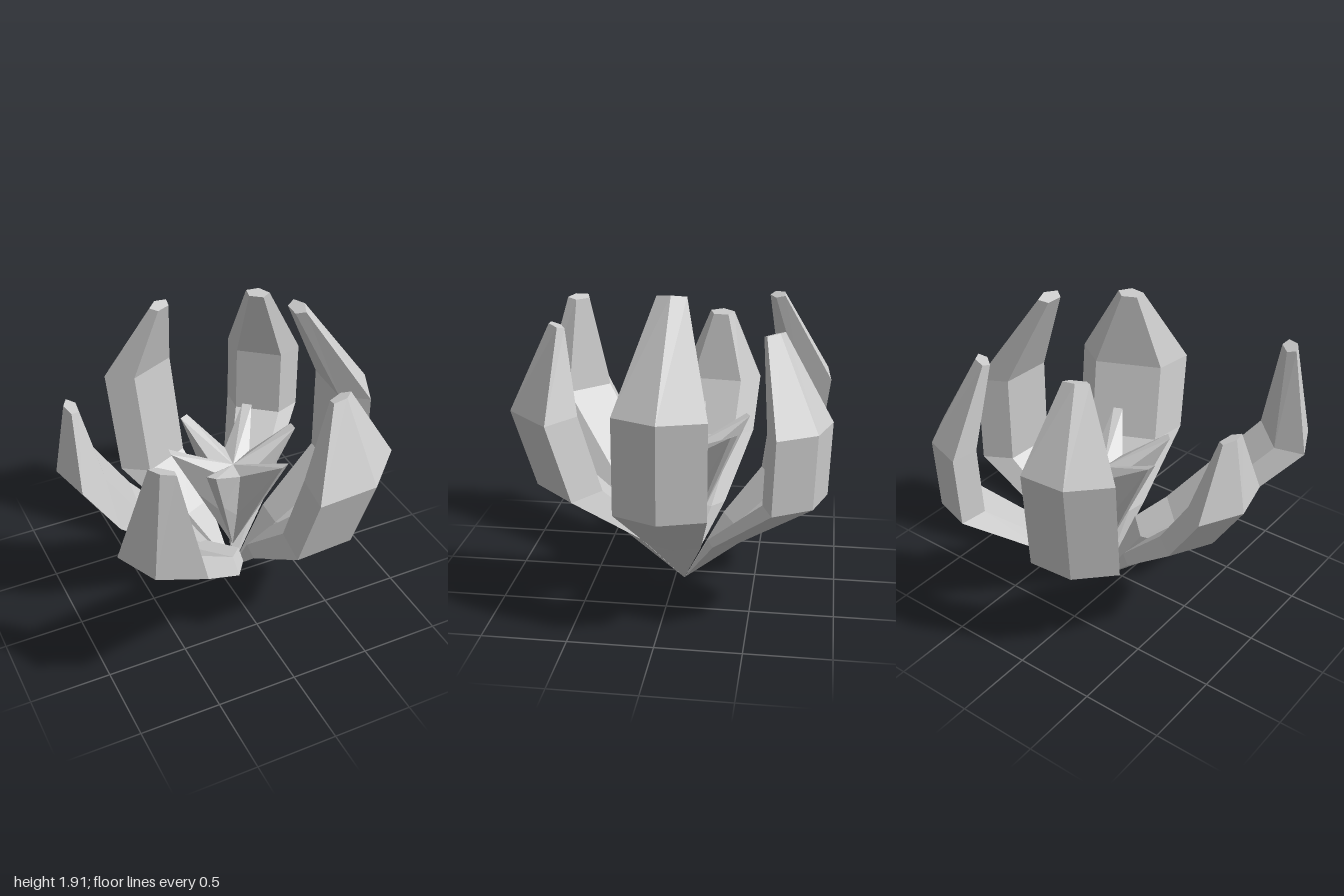
import * as THREE from 'three';

const BASE = { x: 0.1, z: -0.06 };   // where every petal meets at the bottom
const FLAT = 0.52;                   // radial squash of the five-sided sections
const TAU = Math.PI * 2;

const material = new THREE.MeshStandardMaterial({ color: 0xcccccc, flatShading: true });

// Skins a stack of equal-length rings of points, from bottom to top
function loft(name, rings) {
  const n = rings[0].length;
  const positions = [];
  const tri = (a, b, c) => {
    const area = b.clone().sub(a).cross(c.clone().sub(a)).length();
    if (area > 1e-7) for (const p of [a, b, c]) positions.push(p.x, p.y, p.z);
  };
  for (let k = 0; k < rings.length - 1; k++) {
    for (let i = 0; i < n; i++) {
      const j = (i + 1) % n;
      const lo = rings[k], hi = rings[k + 1];
      tri(lo[i], hi[i], lo[j]);
      tri(hi[i], hi[j], lo[j]);
    }
  }
  const geometry = new THREE.BufferGeometry();
  geometry.setAttribute('position', new THREE.Float32BufferAttribute(positions, 3));
  geometry.computeVertexNormals();
  const mesh = new THREE.Mesh(geometry, material);
  mesh.name = name;
  return mesh;
}

// Point at a distance along direction a, shifted sideways
function polar(a, along, side, y) {
  return new THREE.Vector3(
    along * Math.cos(a) - side * Math.sin(a), y,
    along * Math.sin(a) + side * Math.cos(a));
}

// Five-sided section with its ridge pointing outward; r is the reach of its side corners
function section(a, r, y, size, tilt = 0) {
  const ring = [];
  for (let i = 0; i < 5; i++) {
    const t = (i / 5) * TAU;
    const out = size * FLAT * (Math.cos(t) - Math.cos(TAU / 5));
    ring.push(polar(a, r + out, size * Math.sin(t), y + out * tilt));
  }
  return ring;
}

function petal(name, a, sections) {
  const rings = [Array.from({ length: 5 }, () => new THREE.Vector3())];
  sections.forEach(([r, y, size], i) =>
    rings.push(section(a, r, y, size, i === sections.length - 1 ? 0.3 : 0)));
  const top = rings[rings.length - 1];
  const middle = top.reduce((s, p) => s.add(p), new THREE.Vector3()).divideScalar(5);
  rings.push(top.map(() => middle));
  return loft(name, rings);
}

// direction (x, z), then sections as [reach, height, size]
const PETALS = [
  ['rightPetal', [1, 0.05],
    [[0.36, 0.38, 0.17], [0.8, 0.74, 0.28], [0.8, 1.31, 0.28], [0.42, 1.905, 0.09]]],
  ['frontPetal', [0.41, 0.91],
    [[0.33, 0.39, 0.2], [0.78, 0.74, 0.365], [0.92, 1.21, 0.37], [0.78, 1.7, 0.085]]],
  ['frontLeftPetal', [-0.7, 0.71],
    [[0.33, 0.38, 0.19], [0.58, 0.49, 0.25], [1.2, 1.01, 0.28], [1.15, 1.625, 0.085]]],
  ['leftPetal', [-0.99, -0.13],
    [[0.38, 0.39, 0.18], [0.8, 0.75, 0.28], [1.01, 1.07, 0.28], [1.0, 1.51, 0.085]]],
  ['backLeftPetal', [-0.42, -0.91],
    [[0.4, 0.37, 0.18], [0.735, 0.63, 0.28], [0.833, 1.31, 0.28], [0.6, 1.795, 0.08]]],
  ['backRightPetal', [0.62, -0.785],
    [[0.4, 0.39, 0.17], [0.92, 0.77, 0.255], [0.94, 1.21, 0.255], [0.71, 1.715, 0.08]]],
];

// Small pointed star in the middle, one spike in front of each petal
function innerStar(angles) {
  const low = [], high = [];
  angles.forEach((a, i) => {
    let next = angles[(i + 1) % angles.length];
    if (next < a) next += TAU;
    const valley = (a + next) / 2;
    low.push(polar(a, 0.24, -0.02, 0.7), polar(a, 0.24, 0.02, 0.7), polar(valley, 0.09, 0, 0.52));
    high.push(polar(a, 0.41, -0.03, 1.05), polar(a, 0.41, 0.03, 1.05), polar(valley, 0.16, 0, 0.88));
  });
  const foot = low.map(() => new THREE.Vector3(0, 0.2, 0));
  const centre = high.map(() => new THREE.Vector3(0, 0.86, 0));
  return loft('innerStar', [foot, low, high, centre]);
}

export function createModel() {
  const model = new THREE.Group();
  model.name = 'flower';
  const angles = [];
  for (const [name, [x, z], sections] of PETALS) {
    const a = Math.atan2(z, x);
    angles.push((a + TAU) % TAU);
    model.add(petal(name, a, sections));
  }
  model.add(innerStar(angles.sort((p, q) => p - q)));
  for (const part of model.children) part.position.set(BASE.x, 0, BASE.z);
  return model;
}
